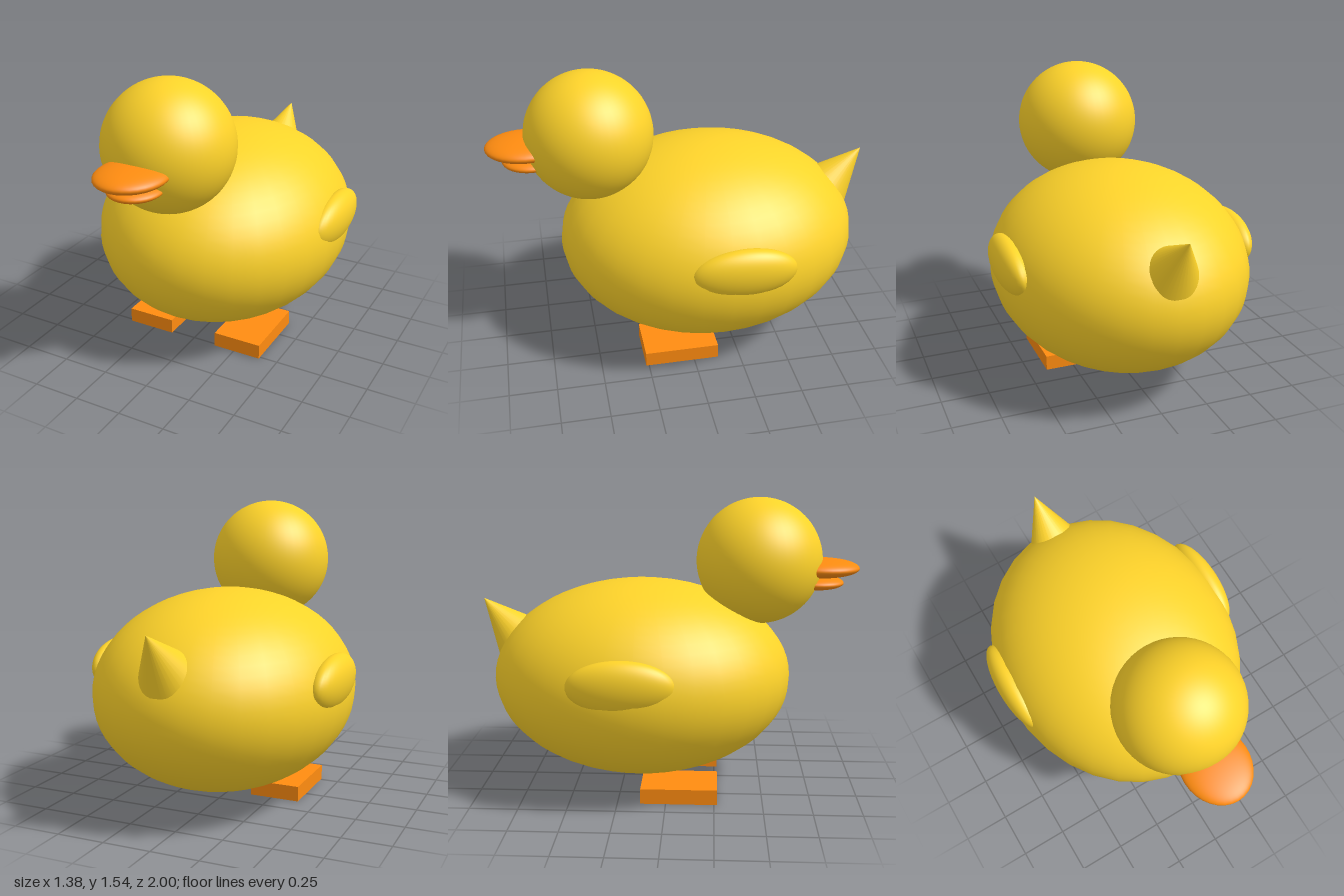
import * as THREE from 'three';

export function createModel() {
  const duck = new THREE.Group();
  duck.name = 'duck';
  const yellow = new THREE.MeshStandardMaterial({ color: 0xffd42a });
  const orange = new THREE.MeshStandardMaterial({ color: 0xff8c10 });

  function add(name, geometry, material, position) {
    const mesh = new THREE.Mesh(geometry, material);
    mesh.name = name;
    mesh.position.set(...position);
    duck.add(mesh);
    return mesh;
  }

  // Smooth ellipsoid with the given radii
  function ellipsoid(name, material, position, radii, segments = 32) {
    const geometry = new THREE.SphereGeometry(1, segments, segments);
    geometry.scale(...radii);
    return add(name, geometry, material, position);
  }

  // Body and head
  ellipsoid('body', yellow, [0, 0.59, -0.145], [0.665, 0.52, 0.795]);
  ellipsoid('head', yellow, [0, 1.214, 0.475], [0.33, 0.33, 0.33], 48);

  // Flattened beak halves
  ellipsoid('upperBeak', orange, [0, 1.178, 0.8], [0.172, 0.05, 0.2]);
  ellipsoid('lowerBeak', orange, [0, 1.1, 0.775], [0.133, 0.037, 0.145]);

  // Pointed tail, leaning backwards
  const tilt = -0.715, tailHeight = 0.3;
  const tail = add('tail', new THREE.ConeGeometry(0.15, tailHeight, 32), yellow, [
    0,
    1 - Math.cos(tilt) * tailHeight / 2,
    -1 - Math.sin(tilt) * tailHeight / 2,
  ]);
  tail.rotation.x = tilt;

  // Wings and feet, mirrored
  for (const [side, s] of [['left', 1], ['right', -1]]) {
    const wing = ellipsoid(side + 'Wing', yellow, [s * 0.602, 0.68, -0.205], [0.087, 0.141, 0.27]);
    wing.rotation.z = -s * 0.15;
    add(side + 'Foot', new THREE.BoxGeometry(0.266, 0.08, 0.396), orange, [s * 0.268, 0.04, 0.067]);
  }

  return duck;
}
